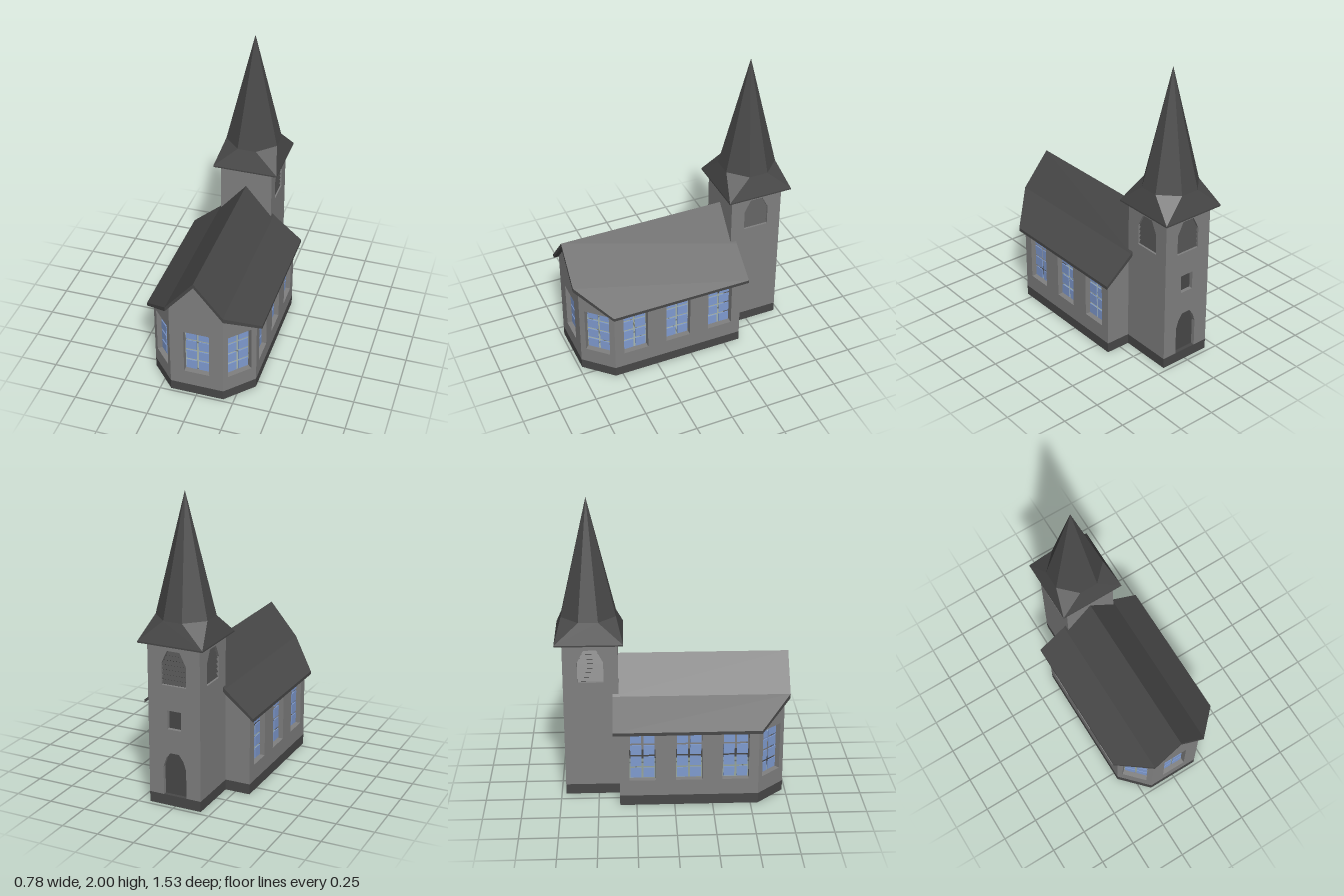
import * as THREE from 'three';
import { ConvexGeometry } from 'three/addons/geometries/ConvexGeometry.js';

const mat = (name, color) => Object.assign(new THREE.MeshStandardMaterial({ color }), { name });
const stone = mat('stone wall', 0x808080);
const slate = mat('dark slate', 0x484848);
const glass = mat('blue glass', 0x7f9bd0);

const DEPTH = 0.04;
const BASE = 0.07;

function add(parent, name, geometry, material, x = 0, y = 0, z = 0) {
  const mesh = new THREE.Mesh(geometry, material);
  mesh.name = name;
  mesh.position.set(x, y, z);
  parent.add(mesh);
  return mesh;
}

const toPoints = (list) => list.map(([x, y]) => new THREE.Vector2(x, y));
const rect = (w, y0, y1, x = 0) => [[x - w / 2, y0], [x + w / 2, y0], [x + w / 2, y1], [x - w / 2, y1]];

// Slab from an outline with holes; its outer face lies at local z = 0
function slab(outline, holes = []) {
  const shape = new THREE.Shape(toPoints(outline));
  for (const h of holes) shape.holes.push(new THREE.Path(toPoints(h)));
  return new THREE.ExtrudeGeometry(shape, { depth: DEPTH, bevelEnabled: false }).translate(0, 0, -DEPTH);
}

// Wall with a dark plinth; local x runs to the right as seen from outside
function wall(parent, name, x, z, angle, width, outline, holes = [], plinth = true) {
  const g = new THREE.Group();
  g.name = name;
  g.position.set(x, 0, z);
  g.rotation.y = angle;
  add(g, 'wallFace', slab(outline, holes), stone);
  if (plinth) add(g, 'plinth', slab(rect(width, 0, BASE)), slate);
  parent.add(g);
  return g;
}

// Window of two by four separate panes, set back in its opening
const WIN_W = 0.172, WIN_LO = 0.18, WIN_HI = 0.51;
const windowHole = (x = 0) => rect(WIN_W, WIN_LO, WIN_HI, x);
function panes(parent, x = 0) {
  const gx = WIN_W / 2, gy = (WIN_HI - WIN_LO) / 4;
  const geo = new THREE.BoxGeometry(gx - 0.014, gy - 0.014, 0.006);
  for (let c = 0; c < 2; c++)
    for (let r = 0; r < 4; r++)
      add(parent, 'windowPane', geo, glass, x + (c - 0.5) * gx, WIN_LO + (r + 0.5) * gy, -0.034);
}

// Belfry opening with tilted slats
const LOUVRE = [[-0.085, 0.81], [0.085, 0.81], [0.085, 0.95], [0.042, 1.035], [-0.042, 1.035], [-0.085, 0.95]];
function slats(parent) {
  for (let i = 0; i < 7; i++) {
    const y = 0.828 + i * 0.0315;
    const w = y < 0.95 ? 0.17 : 0.17 - (y - 0.95) * 1.0;
    const slat = add(parent, 'louvreSlat', new THREE.BoxGeometry(w, 0.032, 0.006), slate, 0, y, -0.018);
    slat.rotation.x = -0.5;
  }
}

function buildNave() {
  const nave = new THREE.Group();
  nave.name = 'nave';
  // Front gable
  const front = wall(nave, 'frontGable', 0, 0.73, 0, 0.36,
    [[-0.18, BASE], [0.18, BASE], [0.18, 0.71], [0, 0.925], [-0.18, 0.71]], [windowHole()]);
  panes(front);

  for (const s of [1, -1]) {
    // Long side with three windows
    const side = wall(nave, 'sideWall', s * 0.35, 0.095, s * Math.PI / 2, 0.91,
      rect(0.91, BASE, 0.565), [-0.305, 0, 0.305].map(windowHole));
    [-0.305, 0, 0.305].forEach((x) => panes(side, x));

    // Slanted corner with a sloping top
    const h = Math.hypot(0.17, 0.18) / 2;
    const corner = wall(nave, 'cornerWall', s * 0.265, 0.64, s * Math.atan2(0.18, 0.17), h * 2,
      [[-h, BASE], [h, BASE], [h, s > 0 ? 0.565 : 0.71], [-h, s > 0 ? 0.71 : 0.565]], [windowHole()]);
    panes(corner);

    // Back wall beside the tower
    wall(nave, 'backWall', s * 0.265, -0.36, Math.PI, 0.17,
      [[-0.085, BASE], [0.085, BASE], [0.085, s > 0 ? 0.71 : 0.565], [-0.085, s > 0 ? 0.565 : 0.71]]);

    // Roof: steep upper panel, then a flatter lower panel with a cut corner
    const ridge = [0, 0.943, 0.765], knee = [0.192, 0.713, 0.765], eave = [0.39, 0.545, 0.565];
    for (const [name, a, b] of [['upperRoof', ridge, knee], ['lowerRoof', knee, eave]]) {
      const pts = [];
      for (const [x, y, z] of [a, b])
        for (const zz of [z, -0.4])
          for (const drop of [0, x > 0.3 ? 0.022 : 0.03]) pts.push(new THREE.Vector3(s * x, y - drop, zz));
      add(nave, name, new ConvexGeometry(pts), slate);
    }
  }
  return nave;
}

function buildTower() {
  const tower = new THREE.Group();
  tower.name = 'tower';
  const TOP = 1.08, CZ = -0.54, R = 0.18;

  wall(tower, 'towerFront', 0, CZ + R, 0, 0.36, rect(0.36, 0.55, TOP), [], false);
  for (const s of [1, -1])
    slats(wall(tower, 'towerSide', s * R, CZ, s * Math.PI / 2, 0.36, rect(0.36, BASE, TOP), [LOUVRE]));

  // Back with belfry opening, small window and arched door
  const door = [[-0.08, BASE], [0.08, BASE], [0.08, 0.26], [0.06, 0.32], [0.03, 0.36], [-0.03, 0.36], [-0.06, 0.32], [-0.08, 0.26]];
  const outline = [[-R, BASE], ...door.slice(0, 1), ...door.slice(2).reverse(), door[1], [R, BASE], [R, TOP], [-R, TOP]];
  const back = wall(tower, 'towerBack', 0, CZ - R, Math.PI, 0.36, outline, [LOUVRE, rect(0.095, 0.52, 0.645)]);
  slats(back);
  const doorGeo = new THREE.ExtrudeGeometry(new THREE.Shape(toPoints(door)), { depth: 0.008, bevelEnabled: false });
  add(back, 'door', doorGeo, slate, 0, 0, -0.034);
  add(back, 'smallWindowPanel', new THREE.BoxGeometry(0.095, 0.125, 0.008), slate, 0, 0.5825, -0.03);

  // Spire: flared square skirt turning into an octagonal point
  const ring = [];
  const square = [];
  for (const a of [1, -1])
    for (const b of [1, -1]) {
      ring.push(new THREE.Vector3(a * 0.178, 1.225, b * 0.064), new THREE.Vector3(a * 0.064, 1.225, b * 0.178));
      for (const y of [1.077, 1.087]) square.push(new THREE.Vector3(a * 0.222, y, b * 0.222));
    }
  add(tower, 'spireSkirt', new ConvexGeometry([...square, ...ring]), slate, 0, 0, -0.546);
  add(tower, 'spirePoint', new ConvexGeometry([...ring, new THREE.Vector3(0, 2, 0)]), slate, 0, 0, -0.546);
  return tower;
}

export function createModel() {
  const model = new THREE.Group();
  model.name = 'church';
  model.add(buildNave(), buildTower());
  return model;
}
